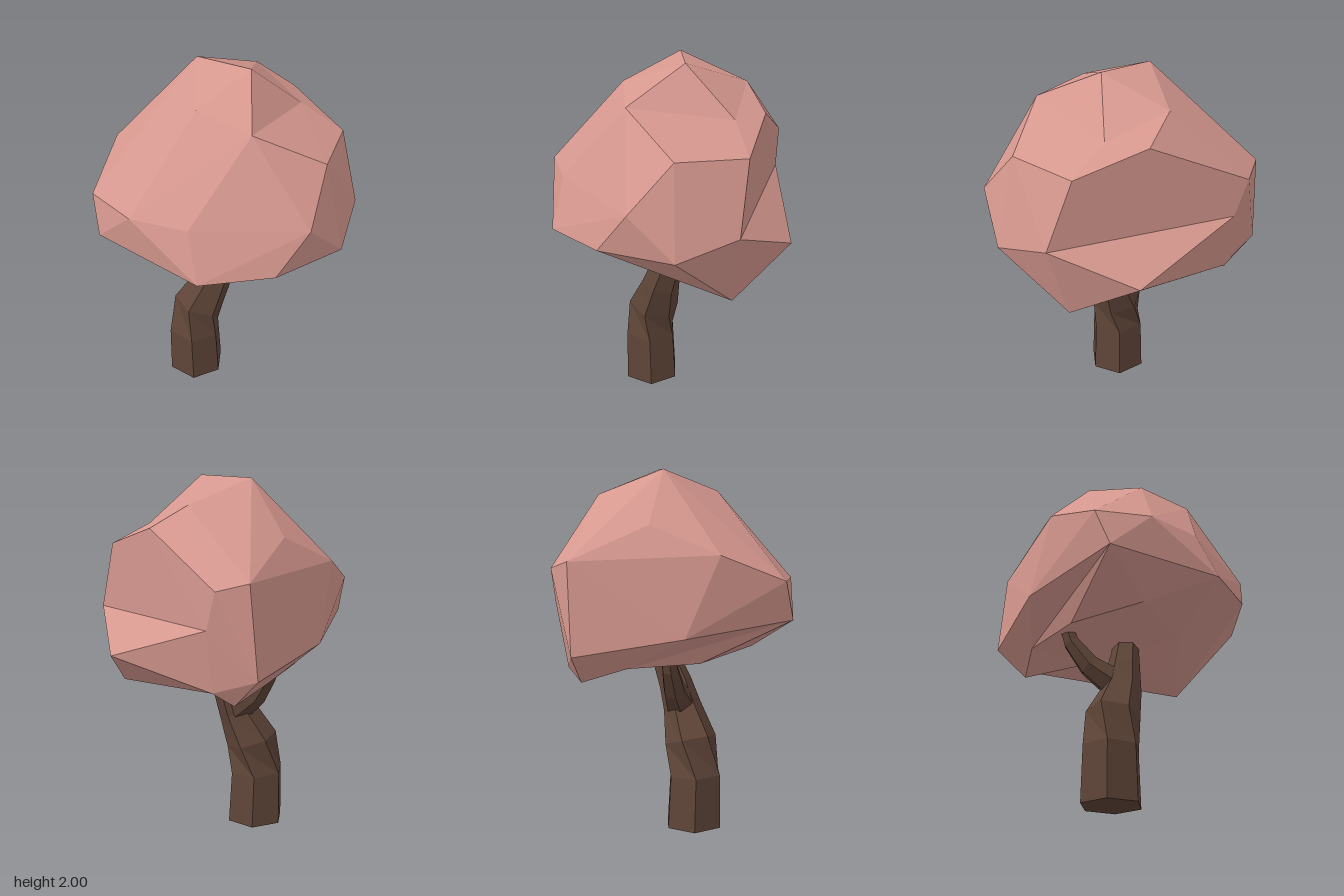
import * as THREE from 'three';
import { ConvexGeometry } from 'three/addons/geometries/ConvexGeometry.js';

const SIDES = 6;

// Faceted limb: hexagonal rings [x, y, z, radius, twist] swept along a bent path
function limb(name, rings, material) {
  const centres = rings.map(([x, y, z]) => new THREE.Vector3(x, y, z));
  const up = new THREE.Vector3(0, 1, 0);
  const pos = [];
  const loops = rings.map(([, y, , r, twist], i) => {
    const tangent = centres[Math.min(i + 1, rings.length - 1)].clone()
      .sub(centres[Math.max(i - 1, 0)]).normalize();
    if (y === 0) tangent.copy(up);
    const q = new THREE.Quaternion().setFromUnitVectors(up, tangent);
    return Array.from({ length: SIDES }, (_, k) => {
      const a = THREE.MathUtils.degToRad(twist) + (k / SIDES) * Math.PI * 2;
      return new THREE.Vector3(Math.cos(a) * r, 0, Math.sin(a) * r)
        .applyQuaternion(q).add(centres[i]);
    });
  });
  const tri = (...v) => v.forEach((p) => pos.push(p.x, p.y, p.z));
  const last = loops.length - 1;
  for (let k = 0; k < SIDES; k++) {
    const n = (k + 1) % SIDES;
    for (let i = 0; i < last; i++) {
      tri(loops[i][k], loops[i + 1][k], loops[i + 1][n]);
      tri(loops[i][k], loops[i + 1][n], loops[i][n]);
    }
    tri(centres[0], loops[0][k], loops[0][n]);
    tri(centres[last], loops[last][n], loops[last][k]);
  }
  const geo = new THREE.BufferGeometry();
  geo.setAttribute('position', new THREE.Float32BufferAttribute(pos, 3));
  geo.computeVertexNormals();
  const mesh = new THREE.Mesh(geo, material);
  mesh.name = name;
  return mesh;
}

// Faceted crown: hull of its corners, then some corners moved to form creases
function crown(material) {
  const corners = [
    // top
    [0.12, 2.0, 0.1], [-0.02, 1.99, -0.19], [0.36, 1.86, -0.19], [0.51, 1.74, -0.05],
    [-0.22, 1.88, 0.12], [-0.08, 1.83, 0.4],
    // front
    [0.55, 1.63, 0.34], [0.06, 1.4, 0.72], [0.3, 1.17, 0.69],
    [-0.12, 1.17, 0.69], [-0.47, 1.15, 0.51], [-0.45, 1.41, 0.4],
    // sides
    [0.56, 1.26, 0.48], [0.45, 1.28, -0.53],
    [-0.64, 1.41, 0.15], [-0.71, 1.2, -0.07], [-0.69, 1.41, -0.15],
    // back
    [-0.41, 1.55, -0.39], [0.3, 1.52, -0.69], [0.44, 1.48, -0.6],
    [0.27, 1.04, -0.72], [-0.26, 1.13, -0.5],
    // underside
    [0.49, 0.84, 0.36], [0.3, 0.88, -0.55], [0.4, 0.95, -0.5],
    [-0.43, 1.02, 0.12], [-0.26, 0.97, -0.27],
  ];
  // moved corners: [place in the hull, final place]
  const moved = [
    [[0.25, 1.6, 0.58], [0.25, 1.65, 0.58]], // upper front
    [[0.41, 1.895, 0.15], [0.41, 1.75, 0.15]], // dent near the top
    [[-0.06, 1.74, -0.48], [-0.05, 1.7, -0.46]], // dent in the upper back
    [[0.49, 1.07, 0.04], [0.71, 1.07, 0.04]], // ledge on the left
    [[0.38, 0.74, -0.15], [0.21, 0.94, -0.15]], // hollow around the branches
    [[0.29, 0.78, 0.2], [0.29, 0.86, 0.22]],
    [[-0.03, 0.85, 0.25], [-0.05, 0.99, 0.33]],
    [[0.06, 0.85, -0.5], [0.06, 0.96, -0.5]],
  ];
  const points = [...corners, ...moved.map(([from]) => from)]
    .map((c) => new THREE.Vector3(...c));
  const geo = new ConvexGeometry(points);
  const p = geo.attributes.position;
  for (let i = 0; i < p.count; i++) {
    const v = new THREE.Vector3().fromBufferAttribute(p, i);
    for (const [from, to] of moved) {
      if (v.distanceTo(new THREE.Vector3(...from)) < 1e-4) p.setXYZ(i, ...to);
    }
  }
  geo.computeVertexNormals();
  const mesh = new THREE.Mesh(geo, material);
  mesh.name = 'crown';
  return mesh;
}

export function createModel() {
  const bark = new THREE.MeshStandardMaterial({ color: 0x5f4538, flatShading: true });
  const leaves = new THREE.MeshStandardMaterial({ color: 0xd6988f, flatShading: true });

  const tree = new THREE.Group();
  tree.name = 'tree';
  tree.add(
    // trunk bends over and runs up into the crown
    limb('trunk', [
      [-0.147, 0, -0.048, 0.168, 8], [-0.155, 0.3, -0.05, 0.158, 8],
      [-0.125, 0.49, -0.04, 0.147, 28], [-0.055, 0.67, 0.01, 0.108, 32],
      [-0.01, 0.8, 0.02, 0.094, 30], [0.09, 1.02, 0.04, 0.07, 30],
    ], bark),
    // fork reaching backwards
    limb('backBranch', [
      [-0.05, 0.69, -0.01, 0.09, 5], [-0.075, 0.8, -0.17, 0.065, 5],
      [-0.09, 0.93, -0.27, 0.048, 5], [-0.09, 1.02, -0.3, 0.04, 5],
    ], bark),
    crown(leaves),
  );
  return tree;
}
